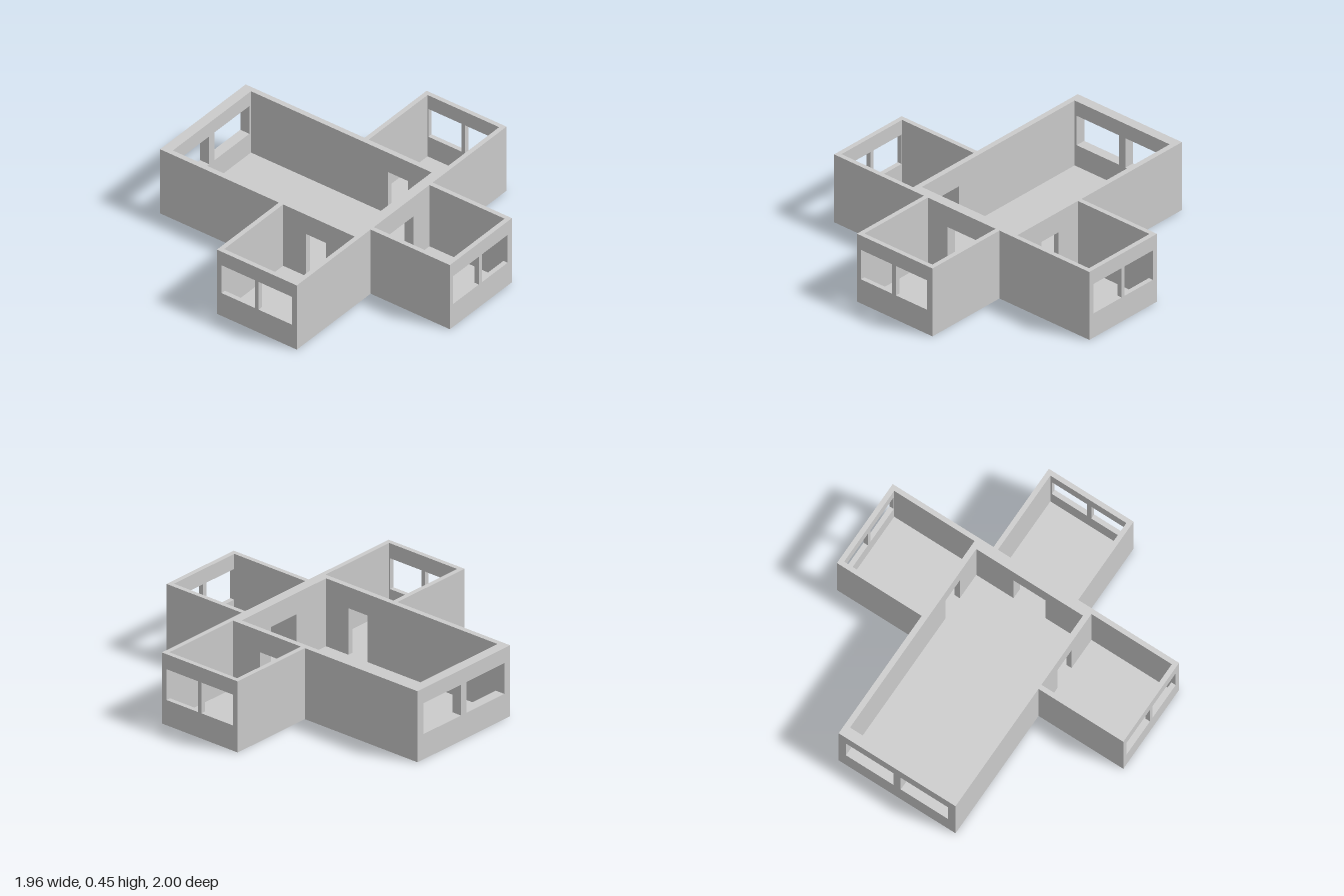
import * as THREE from 'three';

const H = 0.45, FLOOR = 0.02;
const WIN = [0.16, 0.355], DOOR = [FLOOR, 0.315];

export function createModel() {
  const model = new THREE.Group();
  model.name = 'roofless house';
  const mat = new THREE.MeshStandardMaterial({ color: 0xcccccc, flatShading: true });

  const add = (name, geo) => {
    const mesh = new THREE.Mesh(geo, mat);
    mesh.name = name;
    model.add(mesh);
  };

  // Wall panel running a0..a1 along an axis, b0..b1 thick, with [start, end, [low, high]] openings
  const panel = (a0, a1, thick, openings) => {
    const rect = (target, l, r, b, t) => {
      target.moveTo(l, b);
      target.lineTo(r, b);
      target.lineTo(r, t);
      target.lineTo(l, t);
      target.closePath();
      return target;
    };
    const shape = rect(new THREE.Shape(), a0, a1, 0, H);
    for (const [s, e, [low, high]] of openings) shape.holes.push(rect(new THREE.Path(), s, e, low, high));
    return new THREE.ExtrudeGeometry(shape, { depth: thick, bevelEnabled: false });
  };
  const wallX = (name, x0, x1, z0, z1, openings = []) =>
    add(name, panel(x0, x1, z1 - z0, openings).translate(0, 0, z0));
  const wallZ = (name, z0, z1, x0, x1, openings = []) => {
    const flipped = openings.map(([s, e, y]) => [-e, -s, y]);
    add(name, panel(-z1, -z0, x1 - x0, flipped).rotateY(Math.PI / 2).translate(x0, 0, 0));
  };
  const floor = (name, x0, x1, z0, z1) =>
    add(name, new THREE.BoxGeometry(x1 - x0, FLOOR, z1 - z0)
      .translate((x0 + x1) / 2, FLOOR / 2, (z0 + z1) / 2));

  // Main hall
  floor('hallFloor', -0.365, 0.365, -0.935, 0.365);
  wallX('hallBackWall', -0.4, 0.4, -1, -0.935, [[-0.35, -0.025, WIN], [0.025, 0.35, WIN]]);
  wallX('hallFrontWall', -0.365, 0.365, 0.365, 0.43, [[-0.11, 0.11, DOOR]]);

  // Front room
  floor('frontRoomFloor', -0.26, 0.26, 0.43, 0.97);
  wallX('frontRoomWindowWall', -0.29, 0.29, 0.97, 1, [[-0.26, -0.02, WIN], [0.01, 0.25, WIN]]);

  // Hall side walls, front room side walls and side rooms on both sides
  for (const [side, s] of [['left', 1], ['right', -1]]) {
    const span = (a, b) => (s > 0 ? [a, b] : [-b, -a]);
    wallZ(side + 'HallWall', -0.935, 0.43, ...span(0.365, 0.4), [[0.05, 0.195, DOOR]]);
    wallZ(side + 'FrontRoomWall', 0.43, 0.97, ...span(0.26, 0.29));

    floor(side + 'RoomFloor', ...span(0.4, 0.95), -0.115, 0.4);
    wallX(side + 'RoomBackWall', ...span(0.4, 0.95), -0.145, -0.115);
    wallX(side + 'RoomFrontWall', ...span(0.4, 0.95), 0.4, 0.43);
    wallZ(side + 'RoomWindowWall', -0.145, 0.43, ...span(0.95, 0.98),
      [[-0.11, 0.13, WIN], [0.155, 0.395, WIN]]);
  }
  return model;
}
